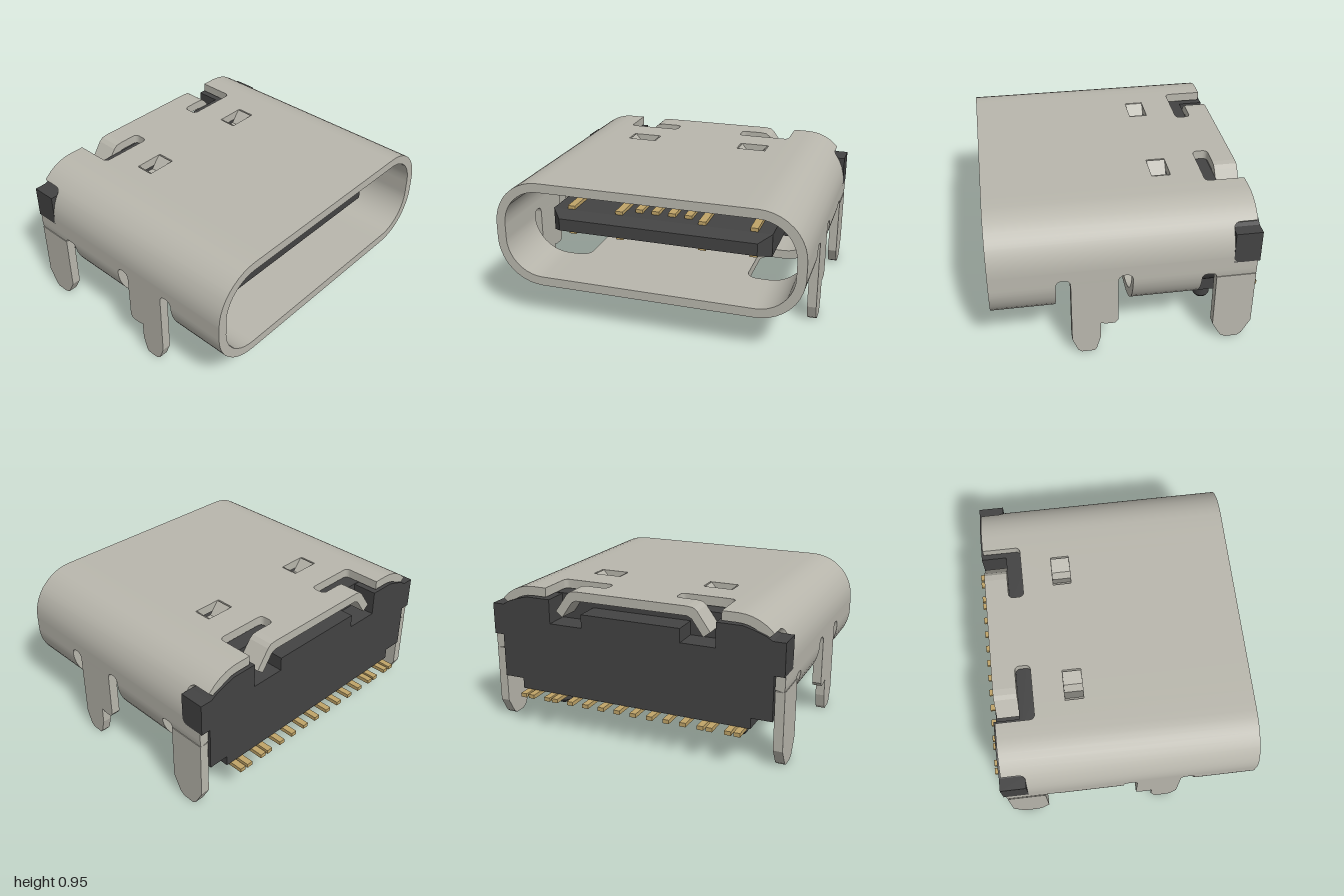
import * as THREE from 'three';
import { toCreasedNormals } from 'three/addons/utils/BufferGeometryUtils.js';
import { ConvexGeometry } from 'three/addons/geometries/ConvexGeometry.js';

const metal = new THREE.MeshStandardMaterial({ color: 0xb9b7ad });
const plastic = new THREE.MeshStandardMaterial({ color: 0x434343 });
const gold = new THREE.MeshStandardMaterial({ color: 0xc0a468 });

const WALL = 0.06, R = 0.3, FLAT = 0.7, MID = 0.6, BACK = -0.77, FRONT = 0.87;
const ARC = R * Math.PI / 2;
const S1 = FLAT + ARC, S2 = S1 + 0.1, S3 = S2 + ARC, S4 = S3 + FLAT;
const topS = x => S3 + FLAT - x; // sheet coordinate of a point on the flat top

// Point on the shell wall: s runs from bottom centre round the side to top centre
function wallPoint(s, z, inset) {
  const a = Math.abs(s), side = Math.sign(s) || 1, r = R - inset;
  let x, y;
  if (a < FLAT) { x = a; y = 0.25 + inset; }
  else if (a < S1) { const t = (a - FLAT) / R; x = FLAT + r * Math.sin(t); y = 0.55 - r * Math.cos(t); }
  else if (a < S2) { x = 1 - inset; y = 0.55 + a - S1; }
  else if (a < S3) { const t = (a - S2) / R; x = FLAT + r * Math.cos(t); y = 0.65 + r * Math.sin(t); }
  else { x = S4 - a; y = 0.95 - inset; }
  return [x * side, y, z];
}

// Removes intervals from a list of intervals
function subtract(ranges, cuts) {
  const out = [];
  const sorted = [...cuts].sort((p, q) => p[0] - q[0]);
  for (const [a, b] of ranges) {
    let cur = a;
    for (const [lo, hi] of sorted) {
      if (hi <= a || lo >= b) continue;
      if (lo > cur + 1e-6) out.push([cur, lo]);
      cur = Math.max(cur, hi);
    }
    if (cur < b - 1e-6) out.push([cur, b]);
  }
  return out;
}

// Openings in the sheet: s range, z range, corner radius at the start and end of s
const half = [
  [0.55, 1.16, 0, 0.47, 0.07, 0],
  [1.16, 1.206, 0.38, 0.47, 0, 0.04],
  [1.16, 1.206, 0, 0.09, 0, 0.04],
  [1.12, 1.151, -0.52, -0.43, 0, 0.03],
  [S1 + 0.05, 1.49, -2, -0.62, 0.04, 0.04],
  [topS(0.6), topS(0.38), -2, -0.575, 0, 0],
  [topS(0.6), topS(0.24), -0.62, -0.52, 0.03, 0.03],
  [topS(0.5), topS(0.3), -0.32, -0.2, 0, 0],
  [0.3, 0.5, -0.32, -0.2, 0, 0],
];
const cuts = [[-1.12, 1.12, -2, -0.43, 0, 0], ...half,
  ...half.map(([a, b, lo, hi, ra, rb]) => [-b, -a, lo, hi, rb, ra])];

function solid(s, mid) {
  const open = cuts.filter(c => mid > c[0] && mid < c[1]).map(([a, b, lo, hi, ra, rb]) => {
    let inset = 0;
    for (const [d, r] of [[s - a, ra], [b - s, rb]])
      if (d < r) inset = Math.max(inset, r - Math.sqrt(Math.max(0, r * r - (r - d) ** 2)));
    return [lo + inset, hi - inset];
  });
  return subtract([[BACK, FRONT]], open);
}

function shellGeometry() {
  let stops = [-S4, S4, 0];
  for (let i = 0; i <= 10; i++)
    for (const s of [FLAT + ARC * i / 10, S2 + ARC * i / 10]) stops.push(s, -s);
  for (const [a, b, , , ra, rb] of cuts)
    for (let k = 0; k <= 5; k++) {
      const d = 1 - Math.cos(k * Math.PI / 10);
      stops.push(a + ra * d, b - rb * d);
    }
  stops = stops.sort((p, q) => p - q).filter((s, i, l) => i === 0 || s - l[i - 1] > 1e-5);

  const pos = [];
  const quad = (a, b, c, d) => pos.push(...a, ...b, ...c, ...a, ...c, ...d);
  const O = (s, z) => wallPoint(s, z, 0), I = (s, z) => wallPoint(s, z, WALL);
  for (let i = 0; i < stops.length - 1; i++) {
    const s = stops[i], t = stops[i + 1], mid = (s + t) / 2;
    const A = solid(s, mid), B = solid(t, mid);
    for (let k = 0; k < Math.min(A.length, B.length); k++) {
      const [a0, b0] = A[k], [a1, b1] = B[k];
      quad(O(s, a0), O(t, a1), O(t, b1), O(s, b0));
      quad(I(s, a0), I(s, b0), I(t, b1), I(t, a1));
      quad(O(s, b0), O(t, b1), I(t, b1), I(s, b0));
      quad(O(s, a0), I(s, a0), I(t, a1), O(t, a1));
    }
    // cut edges that run along z
    if (i === 0) continue;
    const prev = solid(s, (stops[i - 1] + s) / 2);
    for (const [a, b] of subtract(prev, A)) quad(O(s, a), I(s, a), I(s, b), O(s, b));
    for (const [a, b] of subtract(A, prev)) quad(O(s, a), O(s, b), I(s, b), I(s, a));
  }
  const g = new THREE.BufferGeometry();
  g.setAttribute('position', new THREE.Float32BufferAttribute(pos, 3));
  return toCreasedNormals(g, 0.5);
}

const polygon = pts => new THREE.Shape(pts.map(p => new THREE.Vector2(...p)));
const mirrored = pts => [...pts, ...pts.map(([x, y]) => [-x, y]).reverse()];

// Outline in x, y extruded from z0 to z1
function extrudeZ(shape, z0, z1) {
  return new THREE.ExtrudeGeometry(shape, { depth: z1 - z0, bevelEnabled: false, curveSegments: 10 }).translate(0, 0, z0);
}
// Outline in z, y extruded from x0 to x1
function extrudeX(pts, x0, x1) {
  return new THREE.ExtrudeGeometry(polygon(pts.map(([z, y]) => [-z, y])), { depth: x1 - x0, bevelEnabled: false })
    .rotateY(Math.PI / 2).translate(x0, 0, 0);
}
function box(x0, x1, y0, y1, z0, z1) {
  return new THREE.BoxGeometry(x1 - x0, y1 - y0, z1 - z0).translate((x0 + x1) / 2, (y0 + y1) / 2, (z0 + z1) / 2);
}

export function createModel() {
  const model = new THREE.Group();
  const add = (name, geometry, material) => {
    const m = new THREE.Mesh(geometry, material);
    m.name = name;
    model.add(m);
  };

  add('shell', shellGeometry(), metal);

  // Mounting legs, bent flap ends and inward spring dimples
  const frontLeg = [[0.38, 0.55], [0.38, 0.11], [0.345, 0.02], [0.32, 0], [0.24, 0], [0.225, 0.02], [0.2, 0.11],
    [0.2, 0.225], [0.17, 0.215], [0.11, 0.215], [0.09, 0.24], [0.09, 0.55]];
  const rearLeg = [[-0.52, 0.5], [-0.52, 0.12], [-0.575, 0.02], [-0.61, 0], [-0.69, 0], [-0.715, 0.02],
    [-0.77, 0.12], [-0.77, 0.5]];
  const wing = [[0.38, 0.95], [0.38, 0.89], [0.41, 0.875], [0.485, 0.77], [0.53, 0.805], [0.445, 0.925], [0.42, 0.945]];
  const dimple = [[0.29, 0.89], [0.36, 0.81], [0.44, 0.81], [0.51, 0.89], [0.49, 0.949], [0.425, 0.87], [0.375, 0.87], [0.31, 0.949]];
  for (const side of [1, -1]) {
    const [x0, x1] = side > 0 ? [1 - WALL, 1] : [-1, WALL - 1];
    const flip = pts => polygon(pts.map(([x, y]) => [x * side, y]));
    add('frontLeg', extrudeX(frontLeg, x0, x1), metal);
    add('rearLeg', extrudeX(rearLeg, x0, x1), metal);
    add('flapWing', extrudeZ(flip(wing), BACK, -0.62), metal);
    add('topDimple', extrudeZ(flip(dimple), -0.32, -0.2), metal);
    add('bottomDimple', extrudeZ(flip(dimple.map(([x, y]) => [x, 2 * MID - y])), -0.32, -0.2), metal);

    // Locating peg with chamfered tip
    const peg = new THREE.LatheGeometry([[0, 0.08], [0.04, 0.08], [0.055, 0.1], [0.055, 0.22], [0.07, 0.235], [0.07, 0.26]]
      .map(p => new THREE.Vector2(...p)), 20);
    add('locatingPeg', toCreasedNormals(peg.translate(0.645 * side, 0, -0.53), 0.5), plastic);
  }

  // Insulating body filling the back of the shell
  const body = new THREE.Shape();
  const r = 0.235;
  body.absarc(0.7, 0.65, r, 0, Math.PI / 2);
  body.absarc(-0.7, 0.65, r, Math.PI / 2, Math.PI);
  body.absarc(-0.7, 0.55, r, Math.PI, Math.PI * 1.5);
  body.absarc(0.7, 0.55, r, Math.PI * 1.5, Math.PI * 2);
  add('body', toCreasedNormals(extrudeZ(body, -0.62, -0.4), 0.5), plastic);
  add('bodyFoot', box(-0.8, 0.8, 0.24, 0.4, -0.63, -0.435), plastic);
  add('backPlate', extrudeZ(polygon(mirrored([[0.8, 0.24], [0.8, 0.31], [0.935, 0.31], [0.935, 0.6], [1, 0.6], [1, 0.81],
    [0.92, 0.81], [0.88, 0.835], [0.81, 0.86], [0.74, 0.88], [0.57, 0.88], [0.57, 0.72], [0.34, 0.72], [0.34, 0.81]])), -0.785, -0.62), plastic);

  // Tongue: thick root and a tapered tip
  add('tongueRoot', box(-0.745, 0.745, 0.475, 0.735, -0.41, 0.12), plastic);
  const tip = [];
  for (const [x, y0, y1, z] of [[0.735, 0.525, 0.677, 0.1], [0.735, 0.525, 0.677, 0.58], [0.66, 0.56, 0.642, 0.67]])
    for (const sx of [x, -x]) tip.push(new THREE.Vector3(sx, y0, z), new THREE.Vector3(sx, y1, z));
  add('tongue', new ConvexGeometry(tip), plastic);

  // Contacts on both faces of the tongue
  for (const x of [0.615, 0.28, 0.168, 0.056])
    for (const cx of [x, -x])
      for (const y of [0.688, 0.514])
        add('contact', box(cx - 0.025, cx + 0.025, y - 0.012, y + 0.012, 0.1, x > 0.2 ? 0.57 : 0.5), gold);

  // Solder tails behind and under the body
  for (const x of [0.745, 0.687, 0.567, 0.51, 0.395, 0.283, 0.17, 0.057])
    for (const cx of [x, -x])
      add('solderTail', box(cx - 0.021, cx + 0.021, 0.215, 0.241, -0.87, -0.63), gold);

  return model;
}
